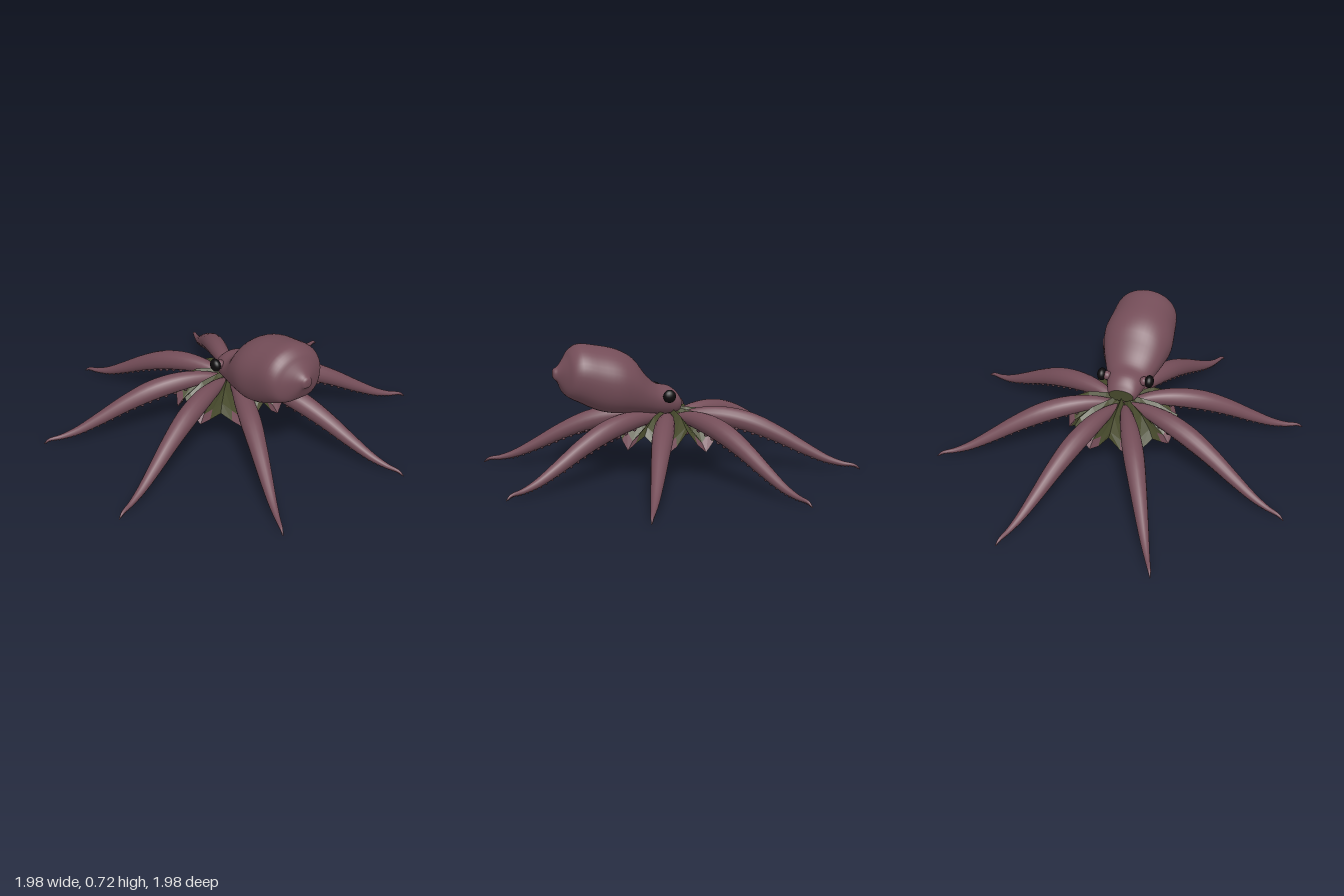
import * as THREE from 'three';
import { mergeGeometries } from 'three/addons/utils/BufferGeometryUtils.js';

const mat = (name, color, extra = {}) => Object.assign(new THREE.MeshStandardMaterial({ color, ...extra }), { name });
const V = (x, y, z) => new THREE.Vector3(x, y, z);

function mesh(name, geometry, material) {
  const m = new THREE.Mesh(geometry, material);
  m.name = name;
  return m;
}

// Skin closed rings; each ring has a centre c and half-axes u, v; belly < 1 squares the lower half
function loft(rings, seg, belly = 1) {
  const pos = [], idx = [];
  rings.forEach(({ c, u, v }, i) => {
    for (let j = 0; j < seg; j++) {
      const a = (j / seg) * Math.PI * 2, cos = Math.cos(a), sin = Math.sin(a);
      const side = cos < 0 ? Math.sign(sin) * Math.abs(sin) ** belly : sin;
      const p = c.clone().addScaledVector(u, cos).addScaledVector(v, side);
      pos.push(p.x, p.y, p.z);
      if (i < rings.length - 1) {
        const k = (j + 1) % seg, r = i * seg, s = r + seg;
        idx.push(r + j, r + k, s + j, r + k, s + k, s + j);
      }
    }
  });
  const g = new THREE.BufferGeometry();
  g.setAttribute('position', new THREE.Float32BufferAttribute(pos, 3));
  g.setIndex(idx);
  g.computeVertexNormals();
  return g;
}

// Arm stations: distance out, height, radius
const ARM = [
  [0.06, 0.285, 0.026], [0.16, 0.303, 0.038], [0.3, 0.296, 0.053], [0.45, 0.262, 0.056], [0.6, 0.2, 0.047],
  [0.75, 0.122, 0.035], [0.88, 0.06, 0.023], [0.97, 0.034, 0.014], [1.04, 0.024, 0.008], [1.069, 0.003, 0.002],
];
const armPath = new THREE.CatmullRomCurve3(ARM.map(([x, y]) => V(x, y, 0)));
const armSize = new THREE.CatmullRomCurve3(ARM.map(([x, , r]) => V(x, r, 0)));
function armFrame(t) {
  const d = armPath.getTangent(t);
  return { c: armPath.getPoint(t), up: V(-d.y, d.x, 0), r: Math.max(0.001, armSize.getPoint(t).y) };
}

function armGeometry() {
  const rings = [];
  for (let i = 0; i <= 32; i++) {
    const { c, up, r } = armFrame(i / 32);
    rings.push({ c, u: up.multiplyScalar(r), v: V(0, 0, r) });
  }
  rings.push({ c: armPath.getPoint(1), u: V(0, 0, 0), v: V(0, 0, 0) });
  return loft(rings, 16);
}

// Two rows of suckers on the underside of an arm
function suckerGeometry() {
  const parts = [];
  for (let i = 0; i < 26; i++) {
    const { c, up, r } = armFrame(0.2 + 0.76 * Math.pow(i / 25, 0.85));
    for (const s of [-1, 1]) {
      const g = new THREE.SphereGeometry(0.003 + r * 0.15, 8, 6);
      const p = c.clone().addScaledVector(up, -r * 0.9);
      g.translate(p.x, Math.max(p.y, 0.005), s * r * 0.4);
      parts.push(g);
    }
  }
  return mergeGeometries(parts);
}

// Mantle and head: top z, top y, bottom z, bottom y, half width
const HEAD = [
  [0.66, 0.565, 0.66, 0.565, 0], [0.655, 0.588, 0.655, 0.537, 0.025], [0.633, 0.602, 0.637, 0.52, 0.04],
  [0.59, 0.655, 0.6, 0.45, 0.115], [0.565, 0.69, 0.575, 0.43, 0.155], [0.52, 0.718, 0.53, 0.408, 0.178],
  [0.42, 0.708, 0.43, 0.36, 0.192], [0.3, 0.68, 0.34, 0.34, 0.2], [0.22, 0.632, 0.26, 0.335, 0.182],
  [0.14, 0.53, 0.18, 0.33, 0.15], [0.08, 0.482, 0.11, 0.32, 0.122], [0.01, 0.466, 0.03, 0.315, 0.1],
  [-0.03, 0.437, -0.025, 0.32, 0.085], [-0.053, 0.405, -0.045, 0.33, 0.07],
];
function headRings() {
  const high = new THREE.CatmullRomCurve3(HEAD.map(([z, y, , , w]) => V(z, y, w)));
  const low = new THREE.CatmullRomCurve3(HEAD.map(([, , z, y]) => V(z, y, 0)));
  const rings = [];
  for (let i = 0; i <= 52; i++) {
    const t = high.getPoint(i / 52), b = low.getPoint(i / 52);
    const top = V(0, t.y, t.x), bottom = V(0, b.y, b.x);
    rings.push({
      c: top.clone().add(bottom).multiplyScalar(0.5),
      u: top.clone().sub(bottom).multiplyScalar(0.5),
      v: V(Math.max(0, t.z), 0, 0),
    });
  }
  return rings;
}

// Pleated web: high between the arms, low under them; group 1 is the drooping tips
function webGeometry() {
  const R = [0.03, 0.1, 0.2, 0.28, 0.315];
  const high = [0.35, 0.338, 0.325, 0.28, 0.235];
  const low = [0.3, 0.27, 0.235, 0.185, 0.138];
  const N = 32, pos = [[], []];
  const point = (i, j) => {
    const a = (j / N) * Math.PI * 2;
    const k = Math.abs((j % 4) - 2) / 2; // 0 under an arm, 1 between arms
    // the rim arches higher at the front, back and sides
    const arch = i === 4 && j % 8 === 0 ? 0.03 : 0;
    return [Math.cos(a) * R[i], low[i] + (high[i] - low[i]) * k + arch, Math.sin(a) * R[i] * 0.95];
  };
  for (let i = 0; i < 4; i++) {
    for (let j = 0; j < N; j++) {
      const a = point(i, j), b = point(i, j + 1), c = point(i + 1, j), d = point(i + 1, j + 1);
      // the split of each quad mirrors about the arm
      const tris = j % 4 < 2 ? [a, b, d, a, d, c] : [a, b, c, b, d, c];
      const underArm = j % 4 === 1 || j % 4 === 2;
      pos[i === 3 && underArm ? 1 : 0].push(...tris.flat());
    }
  }
  const g = new THREE.BufferGeometry();
  g.setAttribute('position', new THREE.Float32BufferAttribute([...pos[0], ...pos[1]], 3));
  g.addGroup(0, pos[0].length / 3, 0);
  g.addGroup(pos[0].length / 3, pos[1].length / 3, 1);
  g.computeVertexNormals();
  return g;
}

export function createModel() {
  const skin = mat('mauveSkin', 0x744d58);
  const tipSkin = mat('mauveWebTip', 0x744d58, { side: THREE.DoubleSide, flatShading: true });
  const olive = mat('oliveWeb', 0x484b2d, { side: THREE.DoubleSide, flatShading: true });
  const sucker = mat('darkMauveSucker', 0x62414a);
  const black = mat('blackEye', 0x0c0a0c);
  const model = new THREE.Group();
  model.name = 'octopus';

  // Mantle with the olive patch behind the head
  const rings = headRings(), last = rings[rings.length - 1];
  model.add(mesh('mantle', loft(rings, 40, 0.55), skin));
  model.add(mesh('napePatch', loft([last, { c: last.c, u: V(0, 0, 0), v: V(0, 0, 0) }], 40, 0.55), olive));

  // Protruding black eyes on short stalks
  for (const s of [-1, 1]) {
    const stalk = mesh('eyeStalk', new THREE.SphereGeometry(0.026, 16, 12), skin);
    stalk.position.set(s * 0.108, 0.425, 0.043);
    const eye = mesh('eye', new THREE.SphereGeometry(0.036, 20, 14), black);
    eye.scale.x = 0.72;
    eye.position.set(s * 0.137, 0.428, 0.043);
    model.add(stalk, eye);
  }

  // Eight arms with suckers
  const armGeo = armGeometry(), suckerGeo = suckerGeometry();
  for (let i = 0; i < 8; i++) {
    const arm = new THREE.Group();
    arm.name = 'arm' + (i + 1);
    arm.add(mesh('armFlesh', armGeo, skin), mesh('suckers', suckerGeo, sucker));
    arm.rotation.y = ((i + 0.5) * Math.PI) / 4;
    model.add(arm);
  }

  model.add(mesh('web', webGeometry(), [olive, tipSkin]));

  // Ring of large suckers around the mouth
  const lumps = [];
  for (let i = 0; i < 16; i++) {
    const a = ((Math.floor(i / 2) + 0.5) * Math.PI) / 4, r = i % 2 ? 0.14 : 0.085;
    lumps.push(new THREE.SphereGeometry(0.034, 14, 10).translate(Math.cos(a) * r, 0.24, Math.sin(a) * r));
  }
  model.add(mesh('mouthSuckers', mergeGeometries(lumps), skin));
  return model;
}
